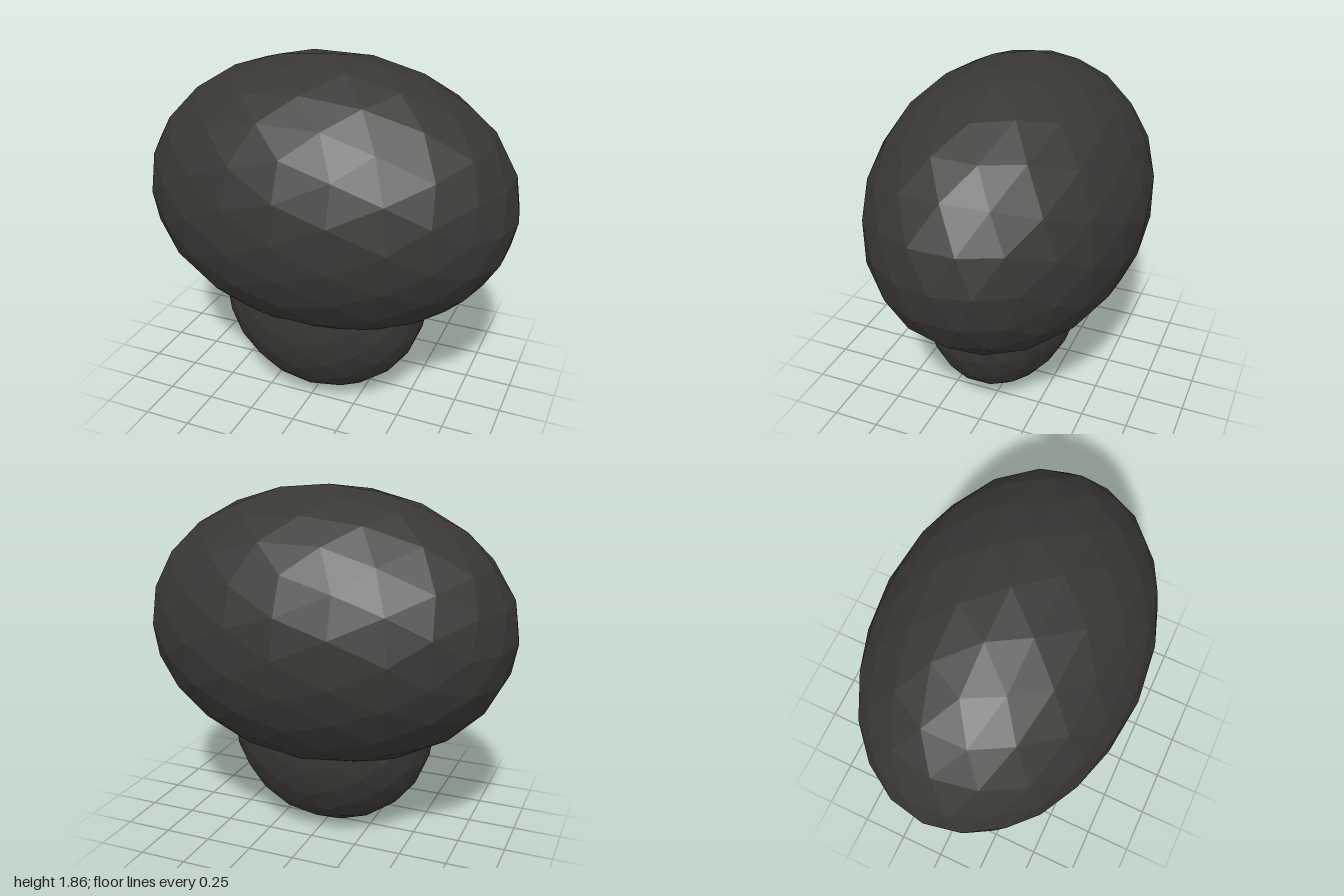
import * as THREE from 'three';

// Unit icosphere: each pass splits every triangle in four and pushes the corners onto the sphere
function icosphere(passes) {
  const pos = new THREE.IcosahedronGeometry(1, 0).getAttribute('position');
  let points = [];
  for (let i = 0; i < pos.count; i++) points.push(new THREE.Vector3().fromBufferAttribute(pos, i));
  const mid = (p, q) => p.clone().add(q).normalize();
  for (let pass = 0; pass < passes; pass++) {
    const next = [];
    for (let i = 0; i < points.length; i += 3) {
      const [a, b, c] = points.slice(i, i + 3);
      const ab = mid(a, b), bc = mid(b, c), ca = mid(c, a);
      next.push(a, ab, ca, ab, b, bc, ca, bc, c, ab, bc, ca);
    }
    points = next;
  }
  return new THREE.BufferGeometry().setFromPoints(points);
}

export function createModel() {
  const group = new THREE.Group();
  const material = new THREE.MeshStandardMaterial({ color: 0x3a3835, flatShading: true });

  function addEllipsoid(name, radii, centre) {
    const geometry = icosphere(2).scale(...radii);
    geometry.computeVertexNormals();
    const mesh = new THREE.Mesh(geometry, material);
    mesh.name = name;
    mesh.position.set(...centre);
    group.add(mesh);
  }

  // Wide rounded top
  addEllipsoid('upperLobe', [1, 0.73, 0.705], [0, 1.13, 0]);
  // Smaller lobe below, set slightly forward
  addEllipsoid('lowerLobe', [0.57, 0.57, 0.42], [0, 0.57, 0.05]);

  return group;
}
